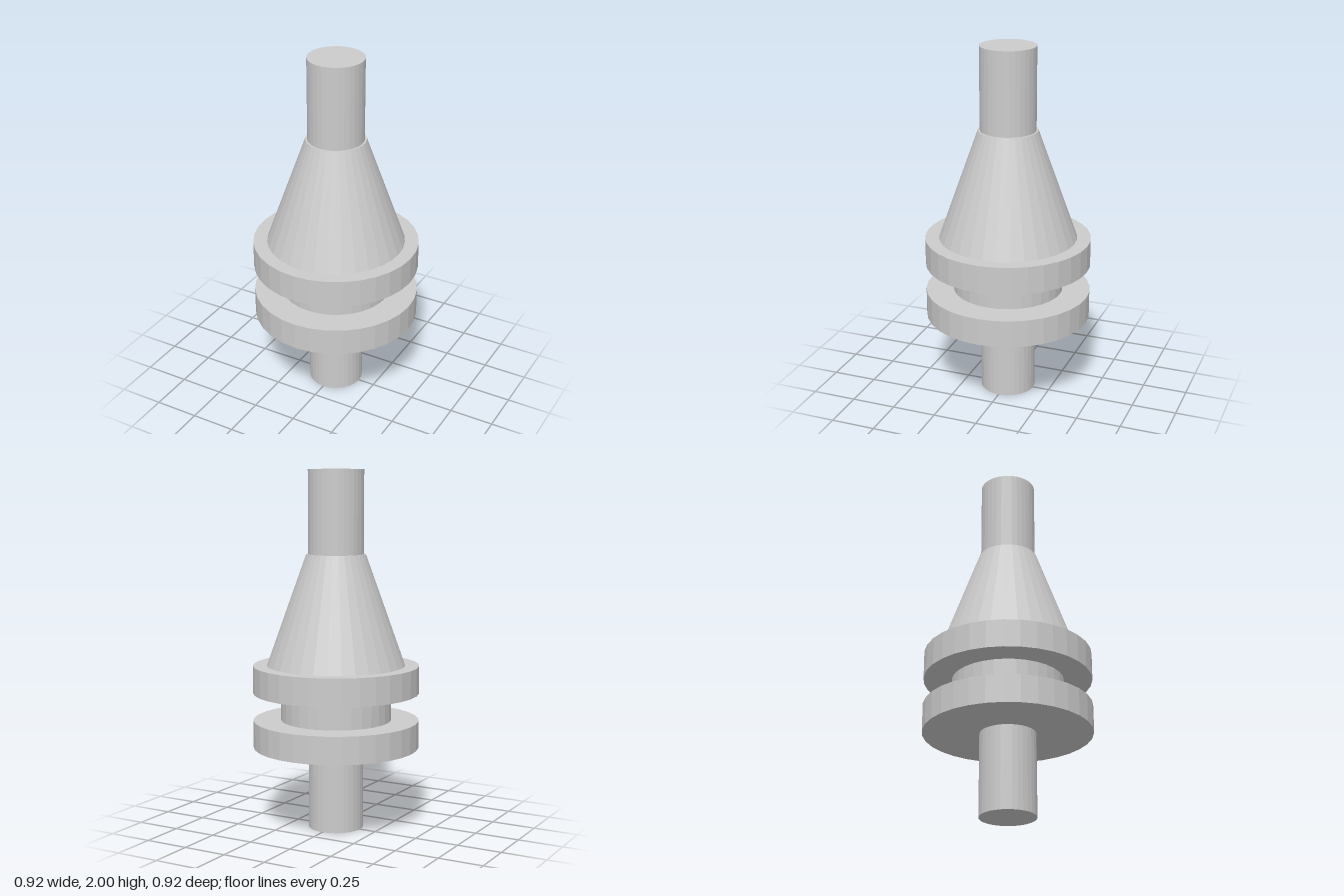
import * as THREE from 'three';

const SIDES = 32;

export function createModel() {
  const model = new THREE.Group();
  const material = new THREE.MeshStandardMaterial({ color: 0xcccccc, flatShading: true });

  // Adds one closed round section spanning y0 to y1
  const addSection = (name, y0, y1, bottomRadius, topRadius = bottomRadius) => {
    const geometry = new THREE.CylinderGeometry(topRadius, bottomRadius, y1 - y0, SIDES);
    const mesh = new THREE.Mesh(geometry, material);
    mesh.name = name;
    mesh.position.y = (y0 + y1) / 2;
    model.add(mesh);
  };

  addSection('lowerShaft', 0, 0.462, 0.154);
  addSection('lowerFlange', 0.462, 0.615, 0.462);
  addSection('grooveCore', 0.615, 0.769, 0.308);
  addSection('upperFlange', 0.769, 0.923, 0.462);
  addSection('taperedCone', 0.923, 1.538, 0.385, 0.165);
  addSection('upperShaft', 1.538, 2, 0.154);

  return model;
}
